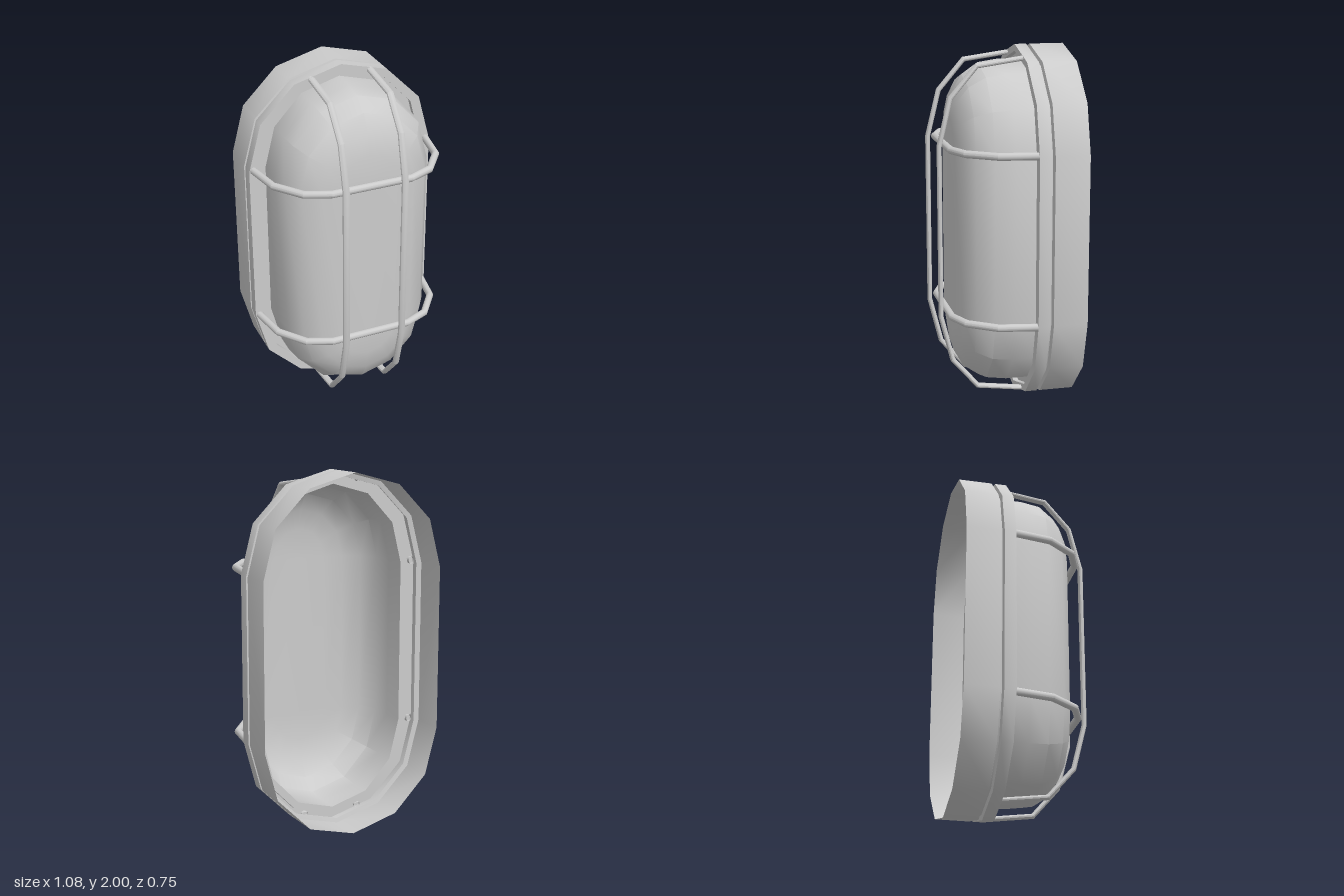
import * as THREE from 'three';
import { toCreasedNormals } from 'three/addons/utils/BufferGeometryUtils.js';

const HALF = 0.46; // half length of the straight sides
const material = new THREE.MeshStandardMaterial({ color: 0xcccccc, side: THREE.DoubleSide });

// Skins a list of rings of points; every ring has the same count.
function skin(name, rings) {
  const n = rings[0].length, index = [];
  for (let k = 0; k < rings.length - 1; k++) {
    for (let i = 0; i < n; i++) {
      const j = (i + 1) % n;
      const a = k * n + i, b = k * n + j, c = b + n, d = a + n;
      index.push(a, b, c, a, c, d);
    }
  }
  const geometry = new THREE.BufferGeometry().setFromPoints(rings.flat());
  geometry.setIndex(index);
  const mesh = new THREE.Mesh(toCreasedNormals(geometry, 0.57), material);
  mesh.name = name;
  return mesh;
}

// Long outline with faceted round ends, at depth z.
function outline([rx, ry, z]) {
  const points = [];
  for (const end of [0, 1]) {
    for (let i = 0; i <= 6; i++) {
      const a = Math.PI * (end + i / 6);
      const y = 1 + (end ? -HALF : HALF) + ry * Math.sin(a);
      points.push(new THREE.Vector3(rx * Math.cos(a), y, z));
    }
  }
  return points;
}

// Bent bar with mitred corners: half path of [u, z], mirrored about u = 0.
function bar(name, half, thickness, width, place) {
  const path = [...half, ...half.map(([u, z]) => [-u, z]).reverse()]
    .map(([u, z]) => new THREE.Vector2(u, z));
  const rings = path.map((p, i) => {
    const before = path[Math.max(i - 1, 0)], after = path[Math.min(i + 1, path.length - 1)];
    const t1 = (i ? p.clone().sub(before) : after.clone().sub(p)).normalize();
    const t2 = (after === p ? t1.clone() : after.clone().sub(p)).normalize();
    const t = t1.clone().add(t2).normalize();
    const stretch = thickness / t.dot(t1);
    return Array.from({ length: 12 }, (_, s) => {
      const a = (s / 12) * Math.PI * 2;
      const off = stretch * Math.cos(a);
      return place(p.x - t.y * off, p.y + t.x * off, width * Math.sin(a));
    });
  });
  return skin(name, rings);
}

export function createModel() {
  const group = new THREE.Group();

  // Open-backed housing, groove and front rim
  group.add(skin('housing', [
    [0.54, 0.54, -0.375], [0.54, 0.54, -0.185], [0.51, 0.515, -0.179],
  ].map(outline)));
  group.add(skin('frontRim', [
    [0.51, 0.515, -0.179], [0.51, 0.515, -0.171], [0.54, 0.54, -0.165],
    [0.54, 0.54, -0.1], [0.481, 0.503, -0.1], [0.481, 0.503, -0.13], [0.436, 0.462, -0.13],
  ].map(outline)));

  // Domed lens
  group.add(skin('lens', [
    [1, -0.13], [1, 0], [0.965, 0.11], [0.83, 0.2], [0.62, 0.255], [0.37, 0.278], [0, 0.28],
  ].map(([f, z]) => outline([0.436 * f, 0.462 * f, z]))));

  // Wire guard
  const guard = new THREE.Group();
  guard.name = 'guard';
  const across = [[0.517, -0.115], [0.478, 0.105], [0.365, 0.255], [0.23, 0.309]];
  const along = [[0.942, -0.115], [0.905, 0.152], [0.737, 0.296], [0.48, 0.36]];
  for (const s of [-1, 1]) {
    guard.add(bar('crossBar', across, 0.02, 0.021,
      (u, z, w) => new THREE.Vector3(u, 1 + s * 0.467 + w, z)));
    guard.add(bar('longBar', along, 0.014, 0.02,
      (u, z, w) => new THREE.Vector3(s * 0.17 - w, 1 + u, z)));
  }
  // Bars run from +u to -u; the sign of w above keeps their faces outward or double-sided
  group.add(guard);
  return group;
}
